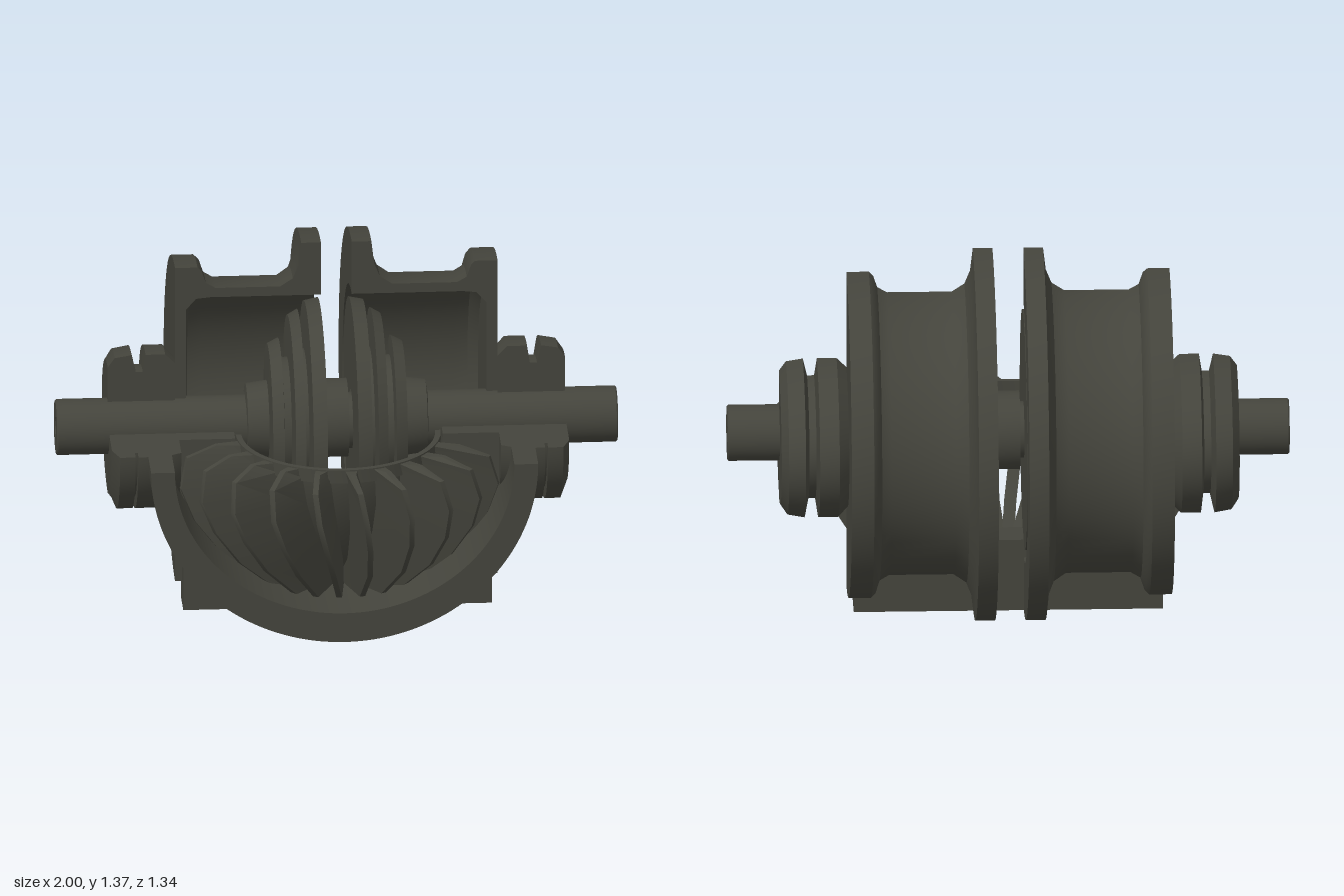
import * as THREE from 'three';
import { toCreasedNormals, mergeGeometries } from 'three/addons/utils/BufferGeometryUtils.js';

const AXIS_Y = 0.685;
const metal = new THREE.MeshStandardMaterial({ color: 0x44443c });
metal.name = 'dark metal';

const crease = (g) => toCreasedNormals(g.index ? g.toNonIndexed() : g, 0.6);
const mirror = (pts) => pts.map(([x, r]) => [-x, r]).reverse();

// Section of [x, radius] points turned about the x axis
function revolve(pts, start = 0, length = Math.PI * 2, segments = 56) {
  const g = new THREE.LatheGeometry(pts.map(([x, r]) => new THREE.Vector2(r, x)), segments, start, length);
  return crease(g.rotateZ(-Math.PI / 2));
}

// Flat cut face of a section; sign places it above or below the axis
function cutFace(pts, sign) {
  const s = new THREE.Shape(pts.map(([x, r]) => new THREE.Vector2(x, r * sign)));
  return new THREE.ShapeGeometry(s).toNonIndexed();
}

// Rear half of a closed section, with both cut faces toward the front
function rearHalf(pts) {
  const loop = [...pts, pts[0]];
  return mergeGeometries([revolve(loop, Math.PI / 2, Math.PI, 32), cutFace(pts, 1), cutFace(pts, -1)]);
}

// Lower front quarter of a closed section, with its cut face upward
function frontQuarter(pts) {
  const loop = [...pts, pts[0]];
  return mergeGeometries([revolve(loop, 0, Math.PI / 2, 20), cutFace(pts, -1).rotateX(-Math.PI / 2)]);
}

// Lower half of an elliptical ring, extruded along z
function halfRing(ax, ay, bx, by, depth) {
  const s = new THREE.Shape();
  s.absellipse(0, 0, ax, ay, Math.PI, Math.PI * 2, false, 0);
  s.lineTo(bx, 0);
  s.absellipse(0, 0, bx, by, Math.PI * 2, Math.PI, true, 0);
  s.closePath();
  return crease(new THREE.ExtrudeGeometry(s, { depth, bevelEnabled: false, curveSegments: 40 }));
}

// Curved runner blade: four-point cross-sections from top to bottom
const bladeRows = [ // height, inner radius, outer radius
  [0.675, 0.36, 0.4], [0.64, 0.355, 0.5], [0.53, 0.34, 0.525],
  [0.41, 0.29, 0.485], [0.28, 0.21, 0.4], [0.15, 0.07, 0.26],
];
function bladeGeometry(angle) {
  const pos = [], idx = [], n = bladeRows.length;
  bladeRows.forEach(([y, ri, ro], k) => {
    const a = angle + 0.18 * (k / (n - 1)) ** 1.3;
    [[ri, -0.022, 0], [ro, -0.009, 0], [ro, 0.009, 0], [ri, 0.022, 0]].forEach(([r, w, sweep]) => {
      const b = a + sweep + w / r;
      // the fan widens sideways toward the tips
      pos.push(r * Math.sin(b) * (r === ro ? 1.12 : 1), y, r * Math.cos(b));
    });
  });
  for (let k = 0; k < n - 1; k++) {
    for (let j = 0; j < 4; j++) {
      const a = k * 4 + j, d = k * 4 + (j + 1) % 4;
      idx.push(a, a + 4, d + 4, a, d + 4, d);
    }
  }
  const e = (n - 1) * 4;
  idx.push(0, 1, 2, 0, 2, 3, e, e + 2, e + 1, e, e + 3, e + 2);
  const g = new THREE.BufferGeometry();
  g.setAttribute('position', new THREE.Float32BufferAttribute(pos, 3));
  g.setIndex(idx);
  return crease(g);
}

export function createModel() {
  const model = new THREE.Group();
  model.name = 'cutawayTurbine';
  const add = (name, geo, x = 0, y = 0, z = 0) => {
    const m = new THREE.Mesh(geo, metal);
    m.name = name;
    m.position.set(x, y, z);
    model.add(m);
    return m;
  };

  // Shaft with a centre hole in each end
  add('shaft', revolve([
    [-0.96, 0], [-0.97, 0.03], [-1, 0.035], [-1, 0.095], [-0.995, 0.1],
    [0.995, 0.1], [1, 0.095], [1, 0.035], [0.97, 0.03], [0.96, 0],
  ]), 0, 0.68, 0.035);
  add('shaftCentre', revolve([[-0.04, 0.1], [-0.04, 0.14], [0.04, 0.14], [0.04, 0.1]]), 0, AXIS_Y, 0.02);

  // Half sections on the model's left side
  const casing = [
    [0.055, 0.485], [0.055, 0.685], [0.125, 0.685], [0.135, 0.6], [0.155, 0.55], [0.2, 0.52],
    [0.43, 0.52], [0.465, 0.54], [0.48, 0.585], [0.495, 0.6], [0.575, 0.6], [0.575, 0.1],
    [0.535, 0.1], [0.535, 0.44], [0.5, 0.48], [0.45, 0.485],
  ];
  const bearing = [
    [0.575, 0.06], [0.575, 0.25], [0.61, 0.285], [0.68, 0.285], [0.69, 0.22], [0.715, 0.22],
    [0.73, 0.285], [0.79, 0.275], [0.815, 0.24], [0.815, 0.06],
  ];
  const lowerBearing = [
    [0.57, 0.1], [0.57, 0.27], [0.63, 0.3], [0.725, 0.3], [0.725, 0.26], [0.735, 0.26],
    [0.735, 0.3], [0.79, 0.3], [0.815, 0.24], [0.815, 0.1],
  ];
  const discs = [
    [0.055, 0.1], [0.055, 0.43], [0.105, 0.42], [0.11, 0.25], [0.125, 0.25], [0.13, 0.39],
    [0.165, 0.37], [0.17, 0.22], [0.195, 0.22], [0.2, 0.29], [0.24, 0.27], [0.245, 0.14],
    [0.32, 0.13], [0.325, 0.1],
  ];

  for (const [side, sx] of [['left', 1], ['right', -1]]) {
    const pick = (pts) => (sx > 0 ? pts : mirror(pts));
    add(side + 'Casing', rearHalf(pick(casing)), 0, AXIS_Y, 0.052).scale.z = 1.05;
    add(side + 'Bearing', rearHalf(pick(bearing)), 0, AXIS_Y - 0.015, 0.052).scale.z = 1.35;
    add(side + 'LowerBearing', frontQuarter(pick(lowerBearing)), 0, AXIS_Y, 0.02).scale.z = 1.12;
    add(side + 'RotorDiscs', revolve(pick(discs)), 0, AXIS_Y, 0.02);
  }

  // Front bowl: back wall, thick shell and foot
  add('bowlBack', halfRing(0.69, 0.665, 0.37, 0.48, 0.19), 0, AXIS_Y, 0.01);
  add('bowlShell', halfRing(0.69, 0.665, 0.605, 0.555, 0.31), 0, AXIS_Y, 0.2);
  add('foot', new THREE.BoxGeometry(1.1, 0.27, 0.12), 0, 0.135, 0.06);

  // Runner hub and its fan of blades
  const hubPoints = [[0.06, 0.14], [0.2, 0.28], [0.28, 0.41], [0.335, 0.53], [0.35, 0.62], [0.355, 0.67]]
    .map(([r, y]) => new THREE.Vector2(r, y));
  add('runnerHub', new THREE.LatheGeometry(hubPoints, 40, -Math.PI / 2, Math.PI), 0, 0, 0.15);
  const bandPoints = [[0.345, 0.63], [0.365, 0.63], [0.365, 0.68], [0.345, 0.68], [0.345, 0.63]]
    .map(([r, y]) => new THREE.Vector2(r, y));
  add('runnerBand', crease(new THREE.LatheGeometry(bandPoints, 40, -Math.PI / 2, Math.PI)), 0, 0, 0.15);
  const count = 10;
  for (let i = 0; i < count; i++) {
    add('runnerBlade', bladeGeometry(-1.38 + (2.6 * i) / (count - 1)), 0, 0, 0.15);
  }
  return model;
}
